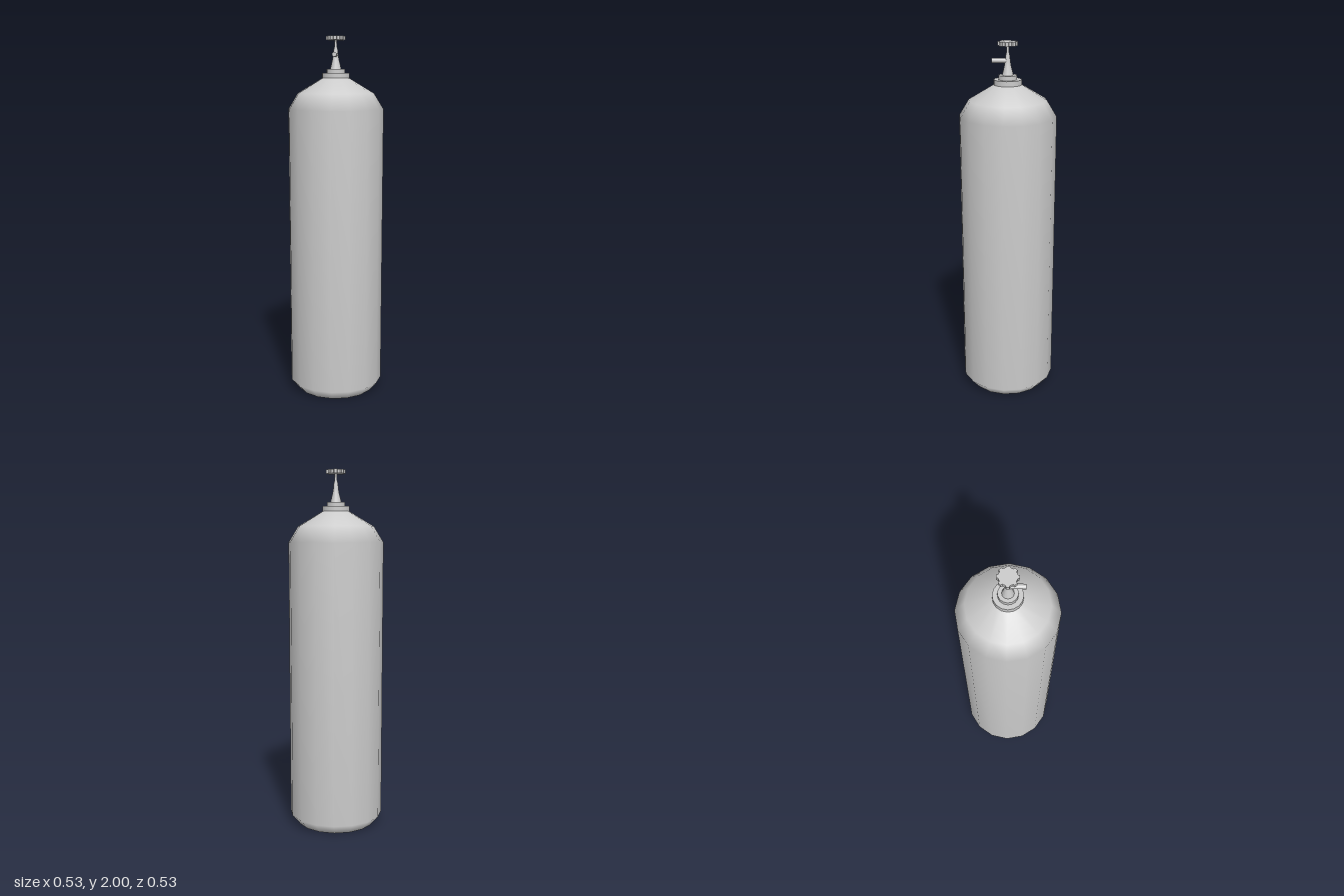
import * as THREE from 'three';

const material = new THREE.MeshStandardMaterial({ color: 0xcccccc });

function add(group, name, geometry, y = 0) {
  const mesh = new THREE.Mesh(geometry, material);
  mesh.name = name;
  mesh.position.y = y;
  group.add(mesh);
  return mesh;
}

function lathe(profile, sides) {
  return new THREE.LatheGeometry(profile.map(([r, y]) => new THREE.Vector2(r, y)), sides);
}

// Eight blunt lobes separated by shallow valleys
function handwheelShape() {
  const points = [];
  for (let i = 0; i < 8; i++) {
    const a = (i * Math.PI) / 4;
    for (const [r, offset] of [[0.045, -0.22], [0.053, -0.15], [0.053, 0.15], [0.045, 0.22]]) {
      points.push(new THREE.Vector2(r * Math.cos(a + offset), r * Math.sin(a + offset)));
    }
  }
  return new THREE.Shape(points);
}

export function createModel() {
  const model = new THREE.Group();
  model.name = 'gasCylinder';

  // Tank with a dished base and domed shoulder
  add(model, 'tank', lathe([
    [0, 0.04], [0.1, 0.032], [0.17, 0.004], [0.215, 0.004], [0.263, 0.06],
    [0.263, 1.608], [0.21, 1.694], [0.075, 1.775], [0, 1.785],
  ], 16));

  // Stepped neck collar
  add(model, 'neckRing', new THREE.CylinderGeometry(0.075, 0.075, 0.035, 16), 1.785);
  add(model, 'neckCollar', new THREE.CylinderGeometry(0.05, 0.05, 0.026, 16), 1.812);

  // Tapered valve body and spindle
  add(model, 'valveBody', lathe([
    [0.031, 1.822], [0.018, 1.875], [0.014, 1.9], [0.012, 1.925], [0.007, 1.945], [0.006, 1.985],
  ], 12));

  // Side outlet pointing forward
  const outlet = add(model, 'outlet', new THREE.CylinderGeometry(0.0125, 0.0125, 0.084, 12), 1.9);
  outlet.rotation.x = Math.PI / 2;
  outlet.position.z = 0.042;

  // Lobed handwheel
  const wheel = new THREE.ExtrudeGeometry(handwheelShape(), { depth: 0.022, bevelEnabled: false });
  wheel.rotateX(-Math.PI / 2);
  add(model, 'handwheel', wheel, 1.978);

  return model;
}
